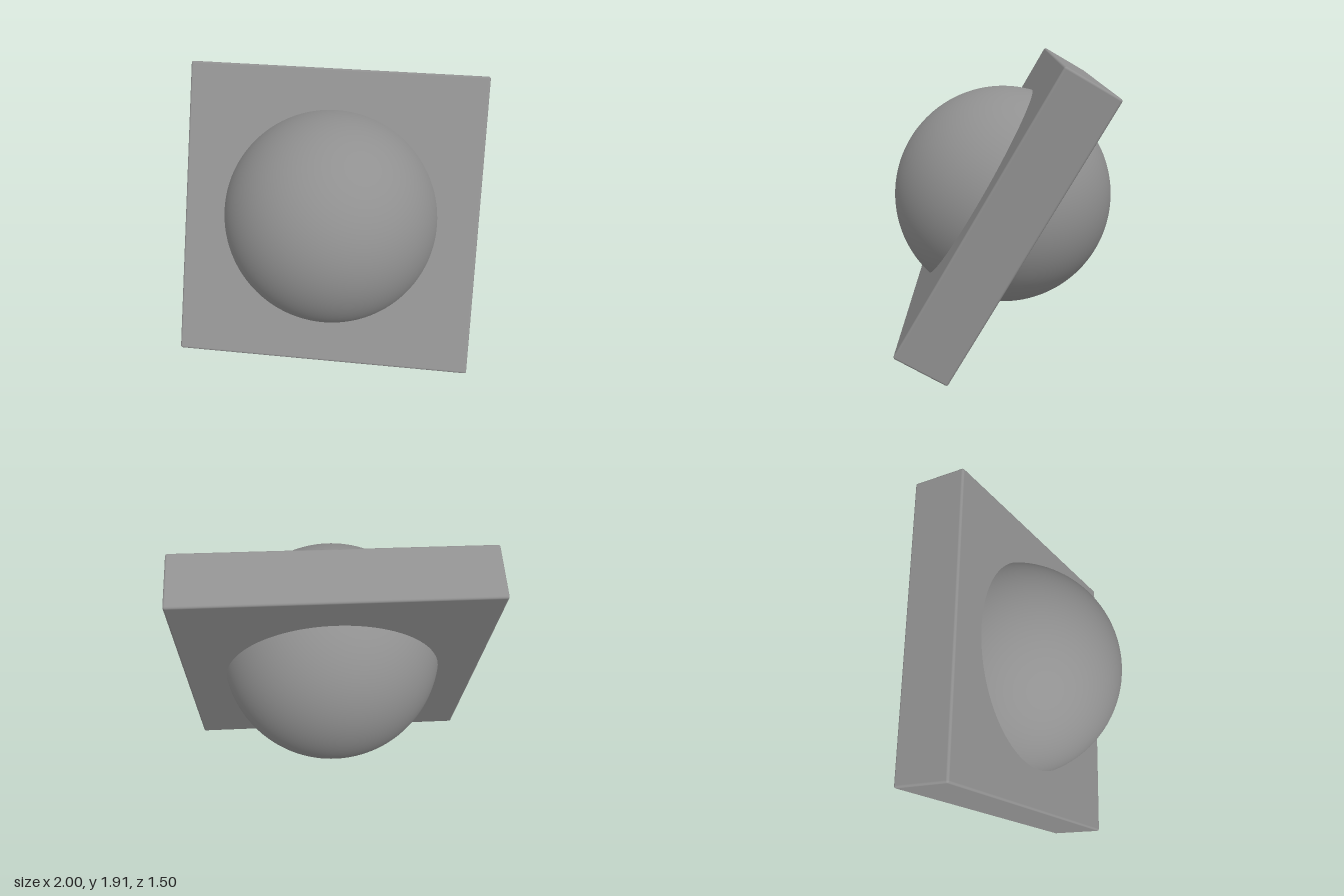
import * as THREE from 'three';
import { RoundedBoxGeometry } from 'three/addons/geometries/RoundedBoxGeometry.js';

export function createModel() {
  const model = new THREE.Group();
  model.name = 'ballInTiltedSlab';
  const material = new THREE.MeshStandardMaterial({ color: 0x909090 });
  const centreY = 0.955;

  // Square slab with softened edges, leaning back 30 degrees
  const slab = new THREE.Mesh(new RoundedBoxGeometry(2, 2, 0.375, 4, 0.015), material);
  slab.name = 'slab';
  slab.rotation.x = -Math.PI / 6;
  slab.position.y = centreY;
  model.add(slab);

  // Ball passing through the middle of the slab
  const ball = new THREE.Mesh(new THREE.SphereGeometry(0.75, 96, 64), material);
  ball.name = 'ball';
  ball.position.y = centreY;
  model.add(ball);

  return model;
}
